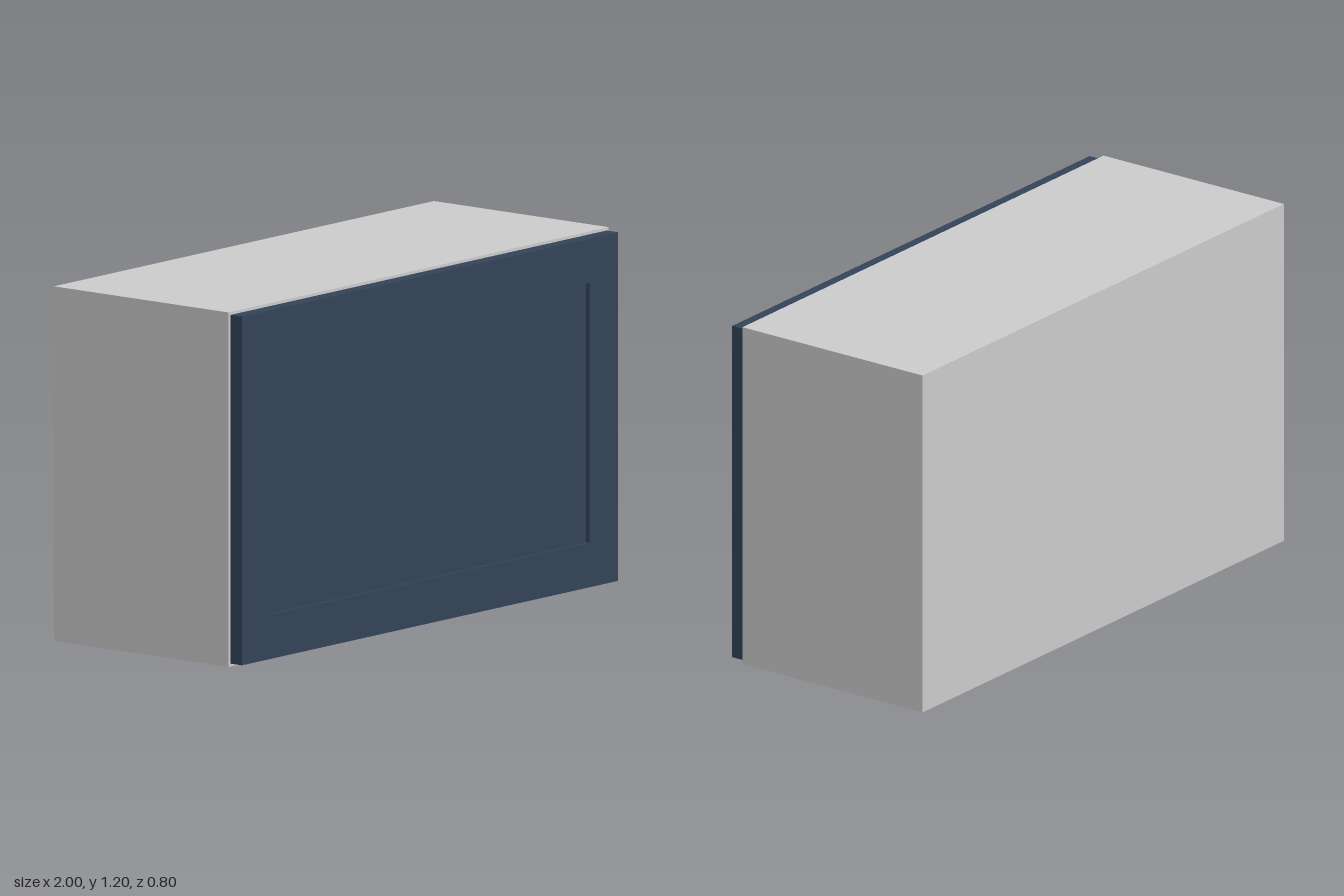
import * as THREE from 'three';

const W = 2, H = 1.2, T = 0.05;          // outer width, height, board thickness
const BACK = -0.4, FRONT = 0.35;         // carcass depth range
const DEPTH = FRONT - BACK, MID = (FRONT + BACK) / 2;

export function createModel() {
  const model = new THREE.Group();
  model.name = 'wallCabinet';
  const board = new THREE.MeshStandardMaterial({ color: 0xcccccc });
  const paint = new THREE.MeshStandardMaterial({ color: 0x334358 });

  function box(name, parent, material, size, position) {
    const mesh = new THREE.Mesh(new THREE.BoxGeometry(...size), material);
    mesh.name = name;
    mesh.position.set(...position);
    parent.add(mesh);
  }

  // Carcass: two full-height sides with top, bottom and back between them
  const carcass = new THREE.Group();
  carcass.name = 'carcass';
  model.add(carcass);
  const inner = W - 2 * T;
  for (const [name, s] of [['leftSide', 1], ['rightSide', -1]])
    box(name, carcass, board, [T, H, DEPTH], [s * (W - T) / 2, H / 2, MID]);
  box('top', carcass, board, [inner, T, DEPTH], [0, H - T / 2, MID]);
  box('bottom', carcass, board, [inner, T, DEPTH], [0, T / 2, MID]);
  box('back', carcass, board, [inner, H - 2 * T, 0.02], [0, H / 2, BACK + 0.01]);

  // Door: a frame around a slightly recessed panel
  const door = new THREE.Group();
  door.name = 'door';
  model.add(door);
  const rect = (path, w, h) => path
    .moveTo(-w / 2, -h / 2).lineTo(w / 2, -h / 2)
    .lineTo(w / 2, h / 2).lineTo(-w / 2, h / 2).closePath();
  const outline = rect(new THREE.Shape(), 1.98, 1.18);
  outline.holes.push(rect(new THREE.Path(), 1.68, 0.88));
  const frame = new THREE.Mesh(
    new THREE.ExtrudeGeometry(outline, { depth: T, bevelEnabled: false }), paint);
  frame.name = 'doorFrame';
  frame.position.set(0, H / 2, FRONT);
  door.add(frame);
  box('doorPanel', door, paint, [1.68, 0.88, 0.035], [0, H / 2, FRONT + 0.0175]);

  return model;
}
